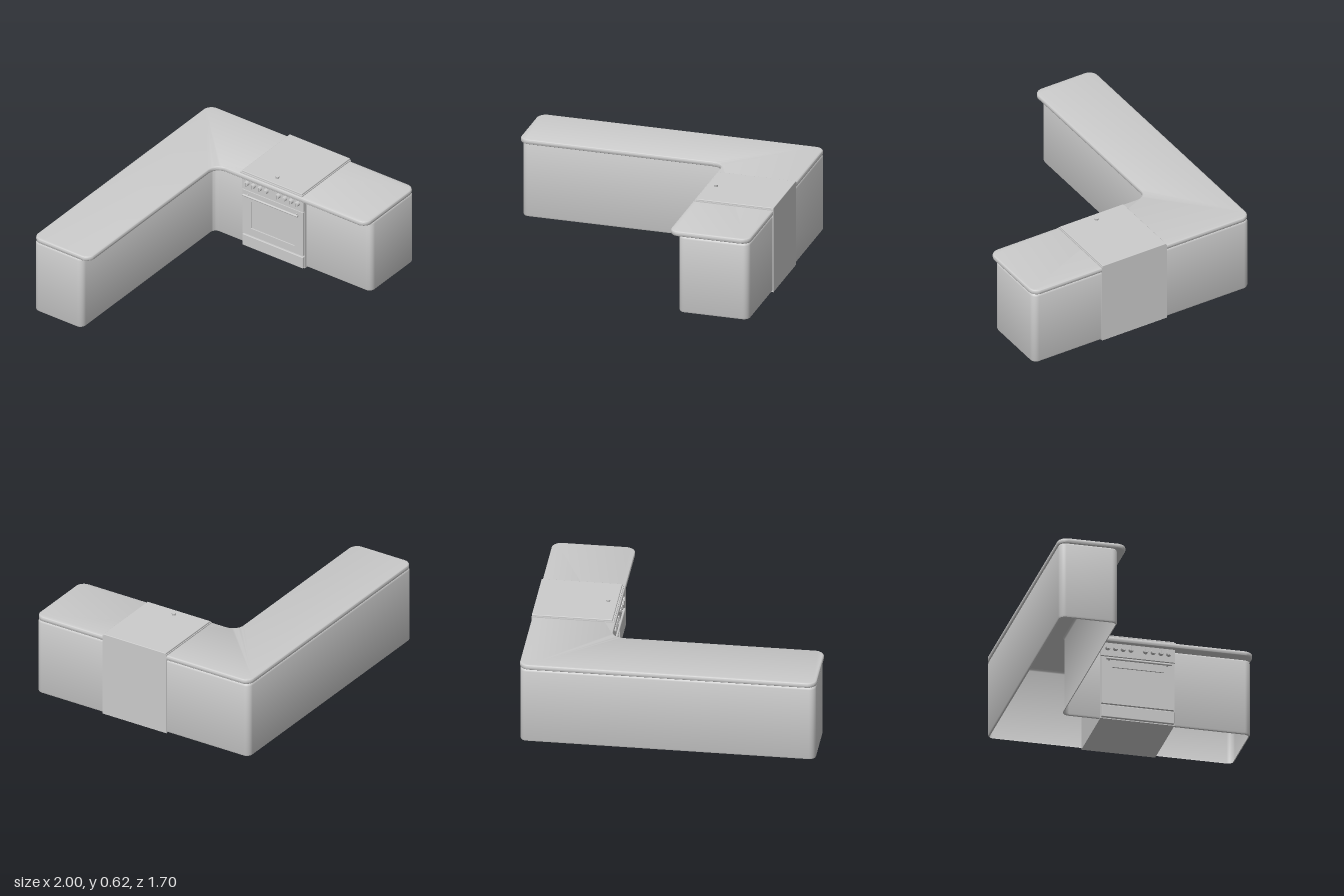
import * as THREE from 'three';
import { RoundedBoxGeometry } from 'three/addons/geometries/RoundedBoxGeometry.js';
import { toCreasedNormals } from 'three/addons/utils/BufferGeometryUtils.js';

const material = new THREE.MeshStandardMaterial({ color: 0xcccccc });
const openMaterial = new THREE.MeshStandardMaterial({ color: 0xcccccc, side: THREE.DoubleSide });

function add(parent, name, geometry, x = 0, y = 0, z = 0, mat = material) {
  const mesh = new THREE.Mesh(geometry, mat);
  mesh.name = name;
  mesh.position.set(x, y, z);
  parent.add(mesh);
  return mesh;
}

// Rounded L outline, drawn with shape y = -z; d shrinks the outline inward
function lShape(x, z, innerX, innerZ, radius, innerRadius, d) {
  const corners = [
    [-x + d, -innerZ + d], [innerX + d, -innerZ + d], [innerX + d, -z + d],
    [x - d, -z + d], [x - d, z - d], [-x + d, z - d],
  ].map(p => new THREE.Vector2(...p));
  const shape = new THREE.Shape();
  corners.forEach((c, i) => {
    const r = i === 1 ? innerRadius + d : radius - d;
    const toward = (k, len) => corners[(i + k) % 6].clone().sub(c).setLength(len).add(c);
    const a = toward(5, r), b = toward(1, r);
    const ca = toward(5, r * 0.448), cb = toward(1, r * 0.448);
    if (i === 0) shape.moveTo(a.x, a.y);
    else shape.lineTo(a.x, a.y);
    shape.bezierCurveTo(ca.x, ca.y, cb.x, cb.y, b.x, b.y);
  });
  return shape;
}

// Open shell through outlines given as [inset, height]
function cabinetShell(levels) {
  const pos = [], index = [];
  let n = 0;
  levels.forEach(([inset, y]) => {
    const ring = lShape(0.995, 0.848, 0.5, -0.445, 0.045, 0.04, inset).getPoints(8);
    n = ring.length;
    ring.forEach(p => pos.push(p.x, y, -p.y));
  });
  for (let l = 0; l < levels.length - 1; l++) {
    for (let i = 0; i < n; i++) {
      const a = l * n + i, b = l * n + (i + 1) % n;
      index.push(a, b, a + n, b, b + n, a + n);
    }
  }
  const g = new THREE.BufferGeometry();
  g.setAttribute('position', new THREE.Float32BufferAttribute(pos, 3));
  g.setIndex(index);
  return toCreasedNormals(g, 0.6);
}

export function createModel() {
  const model = new THREE.Group();
  model.name = 'kitchenCounter';

  // Cabinet walls, open underneath
  add(model, 'cabinetWalls', cabinetShell([
    [0.012, 0.004], [0.004, 0.008], [0, 0.018], [0, 0.535], [0.004, 0.545], [0.014, 0.552],
  ]), 0, 0, 0, openMaterial);

  // Worktop with softly rounded edge
  const bevel = 0.012;
  const top = new THREE.ExtrudeGeometry(
    lShape(0.999, 0.852, 0.437, -0.385, 0.065, 0.08, bevel),
    { depth: 0.036 - 2 * bevel, bevelSize: bevel, bevelThickness: bevel, bevelSegments: 4, curveSegments: 10 });
  top.rotateX(-Math.PI / 2);
  add(model, 'worktop', toCreasedNormals(top, 0.6), 0, 0.55 + bevel, 0);

  // Stove
  const stove = new THREE.Group();
  stove.name = 'stove';
  stove.position.z = 0.06;
  model.add(stove);
  add(stove, 'stoveBody', new THREE.BoxGeometry(0.516, 0.57, 0.508), 0.743, 0.285, 0);
  add(stove, 'hobPlate', new THREE.BoxGeometry(0.553, 0.026, 0.51), 0.7245, 0.58, 0);
  add(stove, 'lid', new RoundedBoxGeometry(0.543, 0.02, 0.498, 2, 0.004), 0.7295, 0.594, 0);
  add(stove, 'lidKnob', new THREE.CylinderGeometry(0.015, 0.012, 0.016, 20), 0.52, 0.611, 0);

  // Front panels
  add(stove, 'controlPanel', new THREE.BoxGeometry(0.02, 0.1, 0.508), 0.476, 0.505, 0);
  add(stove, 'drawerFront', new RoundedBoxGeometry(0.022, 0.088, 0.5, 2, 0.004), 0.476, 0.05, 0);

  // Oven door frame with a recessed window
  const frame = new THREE.Shape();
  frame.moveTo(-0.25, 0.105).lineTo(0.25, 0.105).lineTo(0.25, 0.448).lineTo(-0.25, 0.448);
  const hole = new THREE.Path();
  hole.moveTo(-0.18, 0.16).lineTo(-0.18, 0.375).lineTo(0.18, 0.375).lineTo(0.18, 0.16);
  frame.holes.push(hole);
  const door = new THREE.ExtrudeGeometry(frame, { depth: 0.02, bevelEnabled: false });
  door.rotateY(-Math.PI / 2);
  add(stove, 'ovenDoor', door, 0.486, 0, 0);
  add(stove, 'ovenWindow', new THREE.BoxGeometry(0.012, 0.216, 0.362), 0.482, 0.2675, 0);

  // Door handle on two posts
  const bar = new THREE.CylinderGeometry(0.008, 0.008, 0.45, 14);
  bar.rotateX(Math.PI / 2);
  add(stove, 'doorHandle', bar, 0.442, 0.425, 0);
  const post = new THREE.CylinderGeometry(0.006, 0.006, 0.03, 12);
  post.rotateZ(Math.PI / 2);
  for (const side of [-1, 1]) add(stove, 'handlePost', post, 0.456, 0.425, side * 0.2);

  // Two groups of four control knobs
  const knob = new THREE.CylinderGeometry(0.016, 0.018, 0.026, 20);
  knob.rotateZ(Math.PI / 2);
  const grip = new THREE.BoxGeometry(0.008, 0.03, 0.007);
  for (const side of [-1, 1]) {
    for (let i = 0; i < 4; i++) {
      const z = side * (0.05 + i * 0.053);
      add(stove, 'controlKnob', knob, 0.454, 0.512, z);
      add(stove, 'knobGrip', grip, 0.44, 0.512, z);
    }
  }
  return model;
}
